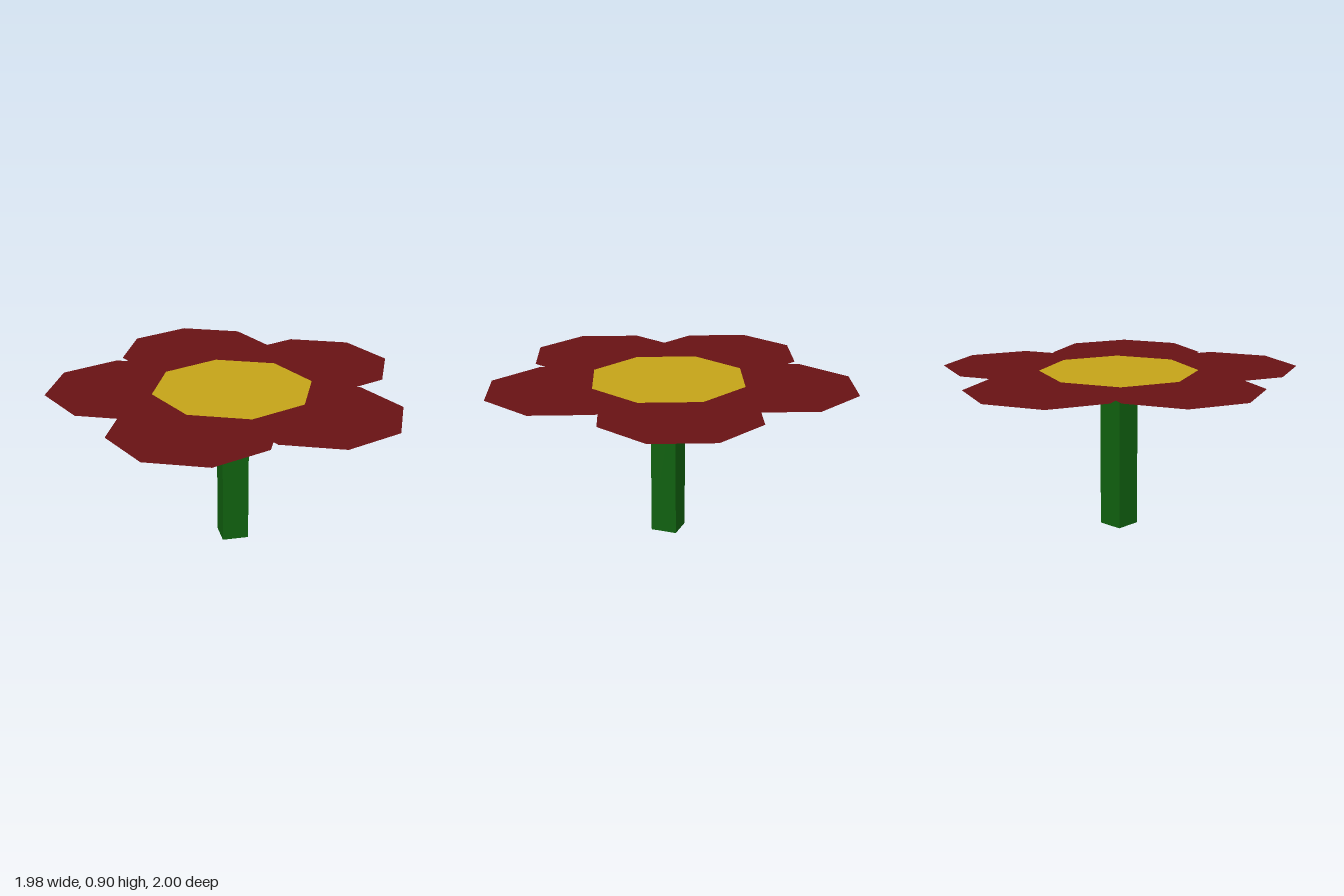
import * as THREE from 'three';

const TOP = 0.895; // height of the flower head
const RADIUS = 0.446;

// Flat horizontal octagon with its corners on the axes
function disc(name, x, y, z, color) {
  const geometry = new THREE.CircleGeometry(RADIUS, 8).rotateX(-Math.PI / 2);
  const material = new THREE.MeshStandardMaterial({ color, side: THREE.DoubleSide, flatShading: true });
  const mesh = new THREE.Mesh(geometry, material);
  mesh.name = name;
  mesh.position.set(x, y, z);
  return mesh;
}

export function createModel() {
  const flower = new THREE.Group();
  flower.name = 'flower';

  // Square stem
  const stem = new THREE.Mesh(
    new THREE.BoxGeometry(0.148, TOP, 0.148),
    new THREE.MeshStandardMaterial({ color: 0x10600f, flatShading: true })
  );
  stem.name = 'stem';
  stem.position.set(0.018, TOP / 2, 0.054);
  flower.add(stem);

  // Ring of five overlapping petals: centre x, z
  const petals = new THREE.Group();
  petals.name = 'petals';
  const centres = [[-0.058, -0.554], [0.54, -0.21], [0.385, 0.5], [-0.295, 0.55], [-0.544, -0.07]];
  centres.forEach(([x, z], i) => petals.add(disc(`petal${i + 1}`, x, TOP, z, 0x681214)));
  flower.add(petals);

  // Yellow centre resting on the petals
  flower.add(disc('flowerCentre', 0.018, TOP + 0.004, 0.052, 0xc4a318));

  return flower;
}
